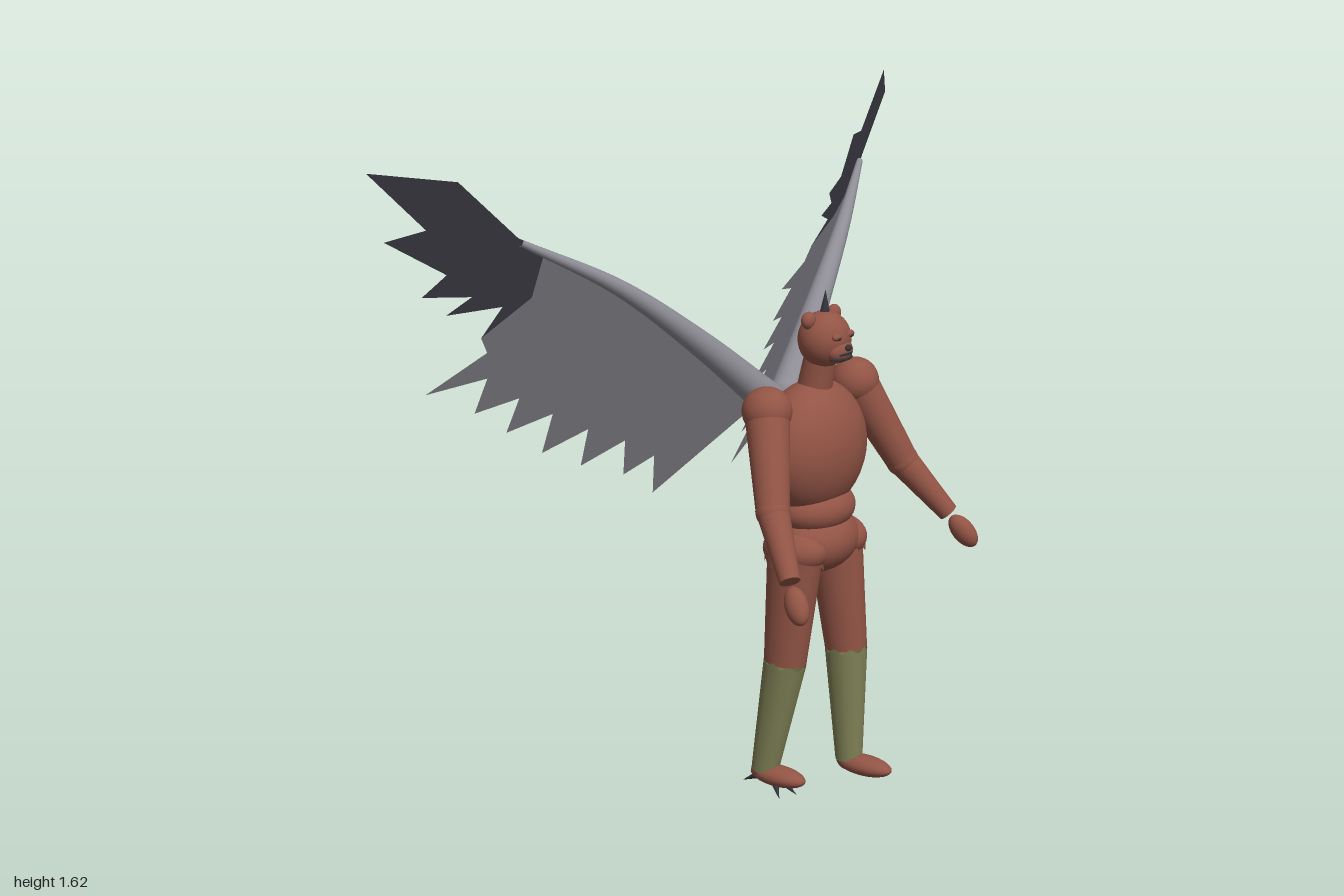
import * as THREE from 'three';

const mat = (name, color, side = THREE.FrontSide) => {
  const m = new THREE.MeshStandardMaterial({ color, side });
  m.name = name;
  return m;
};
const V = (x, y, z) => new THREE.Vector3(x, y, z);

export function createModel() {
  const model = new THREE.Group();
  model.name = 'wingedFigure';
  const skin = mat('russet skin', 0x925445, THREE.DoubleSide);
  const sock = mat('olive sock', 0x7f8055, THREE.DoubleSide);
  const grey = mat('grey feather', 0x8e8d95, THREE.DoubleSide);
  const dark = mat('dark feather', 0x474650, THREE.DoubleSide);
  const claw = mat('dark horn', 0x34343c);

  const add = (name, geo, material, parent = model) => {
    const mesh = new THREE.Mesh(geo, material);
    mesh.name = name;
    parent.add(mesh);
    return mesh;
  };
  const group = (name) => {
    const g = new THREE.Group();
    g.name = name;
    model.add(g);
    return g;
  };
  const ball = (name, p, r, material, parent) => {
    const mesh = add(name, new THREE.SphereGeometry(1, 32, 20), material, parent);
    mesh.position.copy(p);
    mesh.scale.set(...r);
    return mesh;
  };
  // Tapered round limb from a to b; wave scallops the chosen open end
  const limb = (name, a, b, ra, rb, material, parent, wave = 0, waveTop = false) => {
    const len = a.distanceTo(b);
    const geo = new THREE.CylinderGeometry(rb, ra, len, 48, 1, wave > 0);
    if (wave) {
      const p = geo.attributes.position;
      for (let i = 0; i < p.count; i++) {
        const y = p.getY(i);
        if ((y > 0) === waveTop) p.setY(i, y + wave * Math.cos(8 * Math.atan2(p.getZ(i), p.getX(i))));
      }
      geo.computeVertexNormals();
    }
    const mesh = add(name, geo, material, parent);
    mesh.position.copy(a).lerp(b, 0.5);
    mesh.quaternion.setFromUnitVectors(V(0, 1, 0), b.clone().sub(a).normalize());
    return mesh;
  };

  // Torso
  ball('chest', V(0, 0.875, 0.175), [0.167, 0.165, 0.112], skin);
  ball('waist', V(0, 0.725, 0.182), [0.115, 0.065, 0.092], skin);
  ball('pelvis', V(0, 0.645, 0.185), [0.125, 0.082, 0.098], skin);
  limb('neck', V(0, 0.97, 0.17), V(0, 1.11, 0.198), 0.045, 0.038, skin);

  // Head
  const head = group('head');
  ball('skull', V(0, 1.145, 0.208), [0.067, 0.068, 0.063], skin, head);
  ball('muzzle', V(0, 1.122, 0.25), [0.042, 0.03, 0.028], skin, head);
  ball('nose', V(0, 1.132, 0.277), [0.011, 0.008, 0.007], claw, head);
  for (const y of [1.106, 1.118]) {
    const lip = add('mouthLine', new THREE.TorusGeometry(0.036, 0.0035, 6, 20, Math.PI), claw, head);
    lip.rotation.x = Math.PI / 2;
    lip.position.set(0, y, 0.25);
    lip.scale.y = 0.75;
  }
  for (const s of [-1, 1]) {
    ball('ear', V(0.052 * s, 1.197, 0.198), [0.021, 0.021, 0.016], skin, head);
    ball('brow', V(0.026 * s, 1.16, 0.262), [0.016, 0.009, 0.009], skin, head);
    ball('eye', V(0.026 * s, 1.157, 0.269), [0.007, 0.004, 0.004], claw, head);
  }
  limb('horn', V(0, 1.195, 0.208), V(0, 1.262, 0.21), 0.015, 0.0005, claw, head);

  // Arms
  for (const s of [-1, 1]) {
    const arm = group(s > 0 ? 'leftArm' : 'rightArm');
    const shoulder = V(0.182 * s, 1.0, 0.172);
    const elbow = V(0.272 * s, 0.79, 0.255);
    const wrist = V(0.338 * s, 0.655, 0.352);
    ball('shoulder', shoulder, [0.06, 0.058, 0.06], skin, arm);
    limb('upperArm', shoulder, elbow, 0.054, 0.04, skin, arm);
    ball('elbow', elbow, [0.041, 0.041, 0.041], skin, arm);
    limb('forearm', elbow, wrist, 0.039, 0.025, skin, arm);
    const hand = ball('hand', V(0.357 * s, 0.608, 0.385), [0.026, 0.048, 0.029], skin, arm);
    hand.quaternion.setFromUnitVectors(V(0, 1, 0), wrist.clone().sub(hand.position).normalize());
  }

  // Legs: hip, knee and ankle, the left one stepping forward
  const legs = [
    ['leftLeg', V(0.078, 0.635, 0.188), V(0.09, 0.345, 0.217), V(0.09, 0.05, 0.229), 0.275],
    ['rightLeg', V(-0.078, 0.635, 0.182), V(-0.086, 0.345, 0.158), V(-0.094, 0.05, 0.103), 0.143],
  ];
  for (const [name, hip, knee, ankle, footZ] of legs) {
    const leg = group(name);
    ball('hip', hip, [0.068, 0.055, 0.085], skin, leg);
    limb('thigh', knee, hip, 0.049, 0.064, skin, leg).scale.z = 1.1;
    const hem = hip.clone().lerp(knee, 0.12);
    limb('shortsHem', hem, hip, 0.067, 0.069, skin, leg, 0.008).scale.z = 1.12;
    limb('sock', ankle, knee, 0.032, 0.05, sock, leg, 0.006, true).scale.z = 1.08;
    ball('ankle', ankle, [0.031, 0.03, 0.031], skin, leg);
    ball('foot', V(ankle.x, 0.042, footZ), [0.036, 0.025, 0.08], skin, leg);
  }
  // Claws under the rear foot
  const claws = group('claws');
  for (const [x, z] of [[-0.14, 0.18], [-0.095, 0.2], [-0.05, 0.18], [-0.095, 0.038]]) {
    limb('claw', V(-0.094 + (x + 0.094) * 0.3, 0.035, 0.12 + (z - 0.12) * 0.35), V(x, 0.006, z), 0.011, 0.0005, claw, claws);
  }

  // Wings: flat feather sheets lying on one slanted plane
  const planeZ = (x, y) => 0.07 - 0.813 * (x - 0.05) + 0.638 * (y - 1);
  const sheet = (name, outline, material, s, parent) => {
    const shape = new THREE.Shape(outline.map(([x, y]) => new THREE.Vector2(x, y)));
    const geo = new THREE.ShapeGeometry(shape);
    const p = geo.attributes.position;
    for (let i = 0; i < p.count; i++) {
      const x = p.getX(i), y = p.getY(i);
      p.setXYZ(i, x * s, y, planeZ(x, y));
    }
    geo.computeVertexNormals();
    add(name, geo, material, parent);
  };
  const greyOutline = [
    [0.05, 0.98], [0.24, 1.15], [0.45, 1.31], [0.62, 1.42], [0.6, 1.3], [0.655, 1.2], [0.63, 1.16],
    [0.705, 1.055], [0.605, 1.09], [0.595, 0.995], [0.525, 1.03], [0.515, 0.935], [0.445, 0.98],
    [0.425, 0.87], [0.36, 0.93], [0.335, 0.825], [0.275, 0.89], [0.24, 0.79], [0.2, 0.84], [0.16, 0.73],
  ];
  const darkOutline = [
    [0.62, 1.42], [0.68, 1.455], [0.835, 1.6], [1.0, 1.63], [0.85, 1.485], [0.914, 1.46], [0.775, 1.37],
    [0.8, 1.315], [0.71, 1.31], [0.74, 1.265], [0.645, 1.28], [0.655, 1.2], [0.6, 1.3],
  ];
  for (const s of [-1, 1]) {
    const wing = group(s > 0 ? 'leftWing' : 'rightWing');
    sheet('innerFeathers', greyOutline, grey, s, wing);
    sheet('tipFeathers', darkOutline, dark, s, wing);
    // Tapering wing bone
    const path = [[0.04, 0.985], [0.24, 1.155], [0.45, 1.315], [0.67, 1.442]];
    const curve = new THREE.CatmullRomCurve3(path.map(([x, y]) => V(x * s, y, planeZ(x, y))));
    const bone = new THREE.TubeGeometry(curve, 30, 1, 16);
    const p = bone.attributes.position;
    const v = V(0, 0, 0);
    for (let i = 0; i < p.count; i++) {
      const t = Math.floor(i / 17) / 30;
      const c = curve.getPointAt(t);
      v.fromBufferAttribute(p, i).sub(c).multiplyScalar(0.042 - 0.034 * t).add(c);
      p.setXYZ(i, v.x, v.y, v.z);
    }
    add('wingBone', bone, grey, wing);
    ball('wingRoot', curve.getPointAt(0), [0.042, 0.042, 0.042], grey, wing);
  }
  return model;
}
